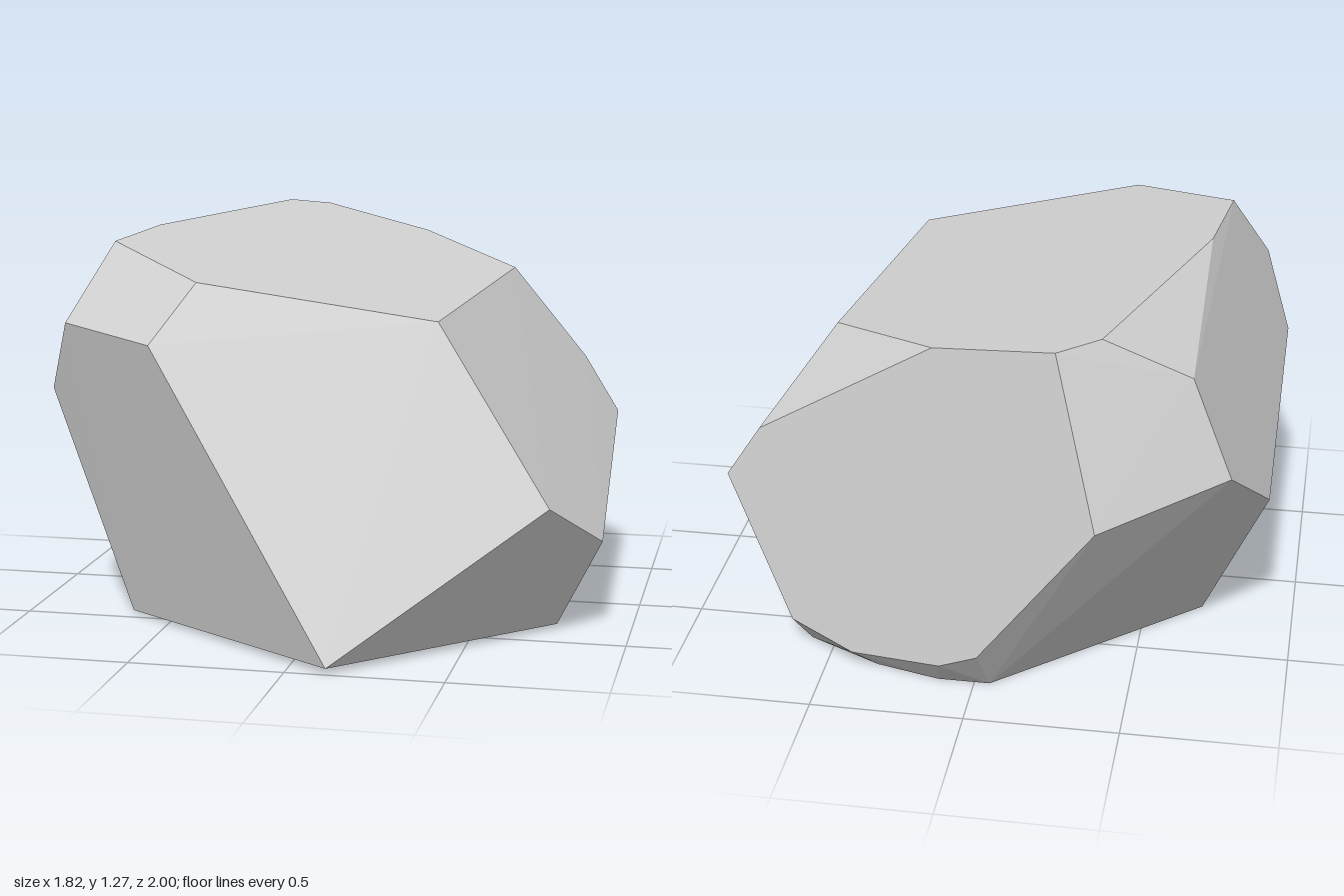
import * as THREE from 'three';
import { ConvexGeometry } from 'three/addons/geometries/ConvexGeometry.js';

// Corners of the faceted boulder, grouped by region: [x, y, z]
const crown = [
  [-0.70, 1.247, 0.42], [-0.66, 1.262, 0.04], [-0.40, 1.275, -0.81], [-0.27, 1.257, -0.89],
  [0.13, 1.178, -0.75], [0.50, 1.088, -0.43], [0.40, 1.037, 0.58], [-0.34, 1.16, 0.73],
];
const girdle = [
  [-0.82, 0.998, 0.59], [-0.47, 0.972, 0.83], [0.77, 0.475, 0.675], [0.91, 0.315, 0.405],
  [0.863, 0.567, -0.545], [0.74, 0.758, -0.57], [-0.41, 0.71, -1.0], [-0.67, 1.12, -0.718],
  [-0.80, 0.80, -0.75], [-0.91, 0.59, -0.48], [-0.91, 0.76, 0.46],
];
const base = [
  [0.13, 0.02, 1.0], [0.76, 0.015, 0.34], [0.58, 0.005, -0.62], [0.33, 0.002, -0.74],
  [0.12, 0, -0.79], [-0.05, 0, -0.79], [-0.693, 0.005, -0.22], [-0.65, 0.01, 0.45],
];
// Chipped lower edge at the back
const backChip = [
  [0.63, 0.11, -0.68], [0.41, 0.06, -0.77], [0.10, 0.11, -0.88], [-0.03, 0.18, -0.92],
];

export function createModel() {
  const group = new THREE.Group();
  group.name = 'rock';

  const stone = new THREE.MeshStandardMaterial({ color: 0xd2d2d2 });
  stone.name = 'pale grey stone';

  // The hull gives each flat facet its own hard-edged normal
  const points = [...crown, ...girdle, ...base, ...backChip].map((p) => new THREE.Vector3(...p));
  const boulder = new THREE.Mesh(new ConvexGeometry(points), stone);
  boulder.name = 'boulder';
  group.add(boulder);
  return group;
}
